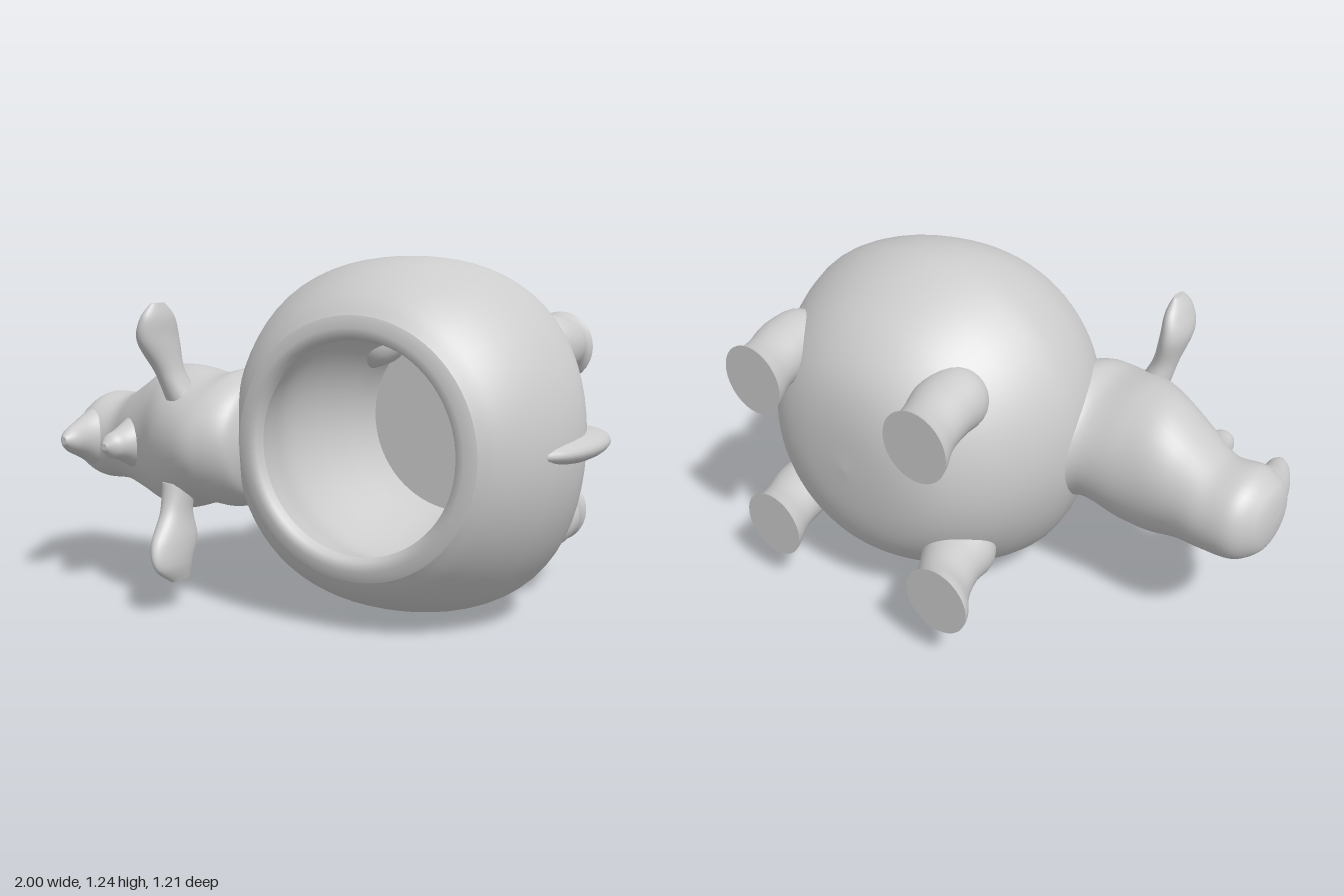
import * as THREE from 'three';

const material = new THREE.MeshStandardMaterial({ color: 0xcccccc, side: THREE.DoubleSide });

// Lofted solid along local y; each section is [height, centreX, centreZ, radiusX, radiusZ]
function loft(sections, steps = 28, sides = 32) {
  const at = (t) => {
    const f = Math.min(t * (sections.length - 1), sections.length - 1.0001);
    const i = Math.floor(f), u = f - i, n = sections.length - 1;
    const [a, b, c, d] = [i - 1, i, i + 1, i + 2].map((k) => sections[Math.min(Math.max(k, 0), n)]);
    return b.map((_, k) => 0.5 * (2 * b[k] + (c[k] - a[k]) * u + (2 * a[k] - 5 * b[k] + 4 * c[k] - d[k]) * u * u
      + (3 * b[k] - a[k] - 3 * c[k] + d[k]) * u * u * u));
  };
  const rings = [];
  for (let i = 0; i <= steps; i++) rings.push(at(i / steps));
  // doubled end rings give crisp flat caps
  const first = rings[0], last = rings[steps];
  const point = (r) => [r[0], r[1], r[2], 0, 0];
  rings.unshift(point(first), first);
  rings.push(last, point(last));
  const pos = [], index = [];
  rings.forEach(([h, cx, cz, rx, rz], i) => {
    for (let j = 0; j < sides; j++) {
      const a = (j / sides) * Math.PI * 2;
      pos.push(cx + Math.sin(a) * rx, h, cz + Math.cos(a) * rz);
      if (i === rings.length - 1) continue;
      const p = i * sides + j, q = i * sides + (j + 1) % sides;
      index.push(p, q, p + sides, q, q + sides, p + sides);
    }
  });
  const g = new THREE.BufferGeometry();
  g.setAttribute('position', new THREE.Float32BufferAttribute(pos, 3));
  g.setIndex(index);
  g.computeVertexNormals();
  return g;
}

// Lathe around the z axis from [radius, z] points
function turned(points, smooth = true) {
  let pts = points.map(([r, z]) => new THREE.Vector2(r, z));
  if (smooth) pts = new THREE.SplineCurve(pts).getPoints(48);
  pts.forEach((p) => { p.x = Math.max(p.x, 0); });
  return new THREE.LatheGeometry(pts, 72).rotateX(Math.PI / 2);
}

// Swell the four diagonals into shoulders and haunches, fading out at the rim
function swellDiagonals(geometry, amount) {
  const p = geometry.attributes.position;
  for (let i = 0; i < p.count; i++) {
    const x = p.getX(i), y = p.getY(i), z = p.getZ(i);
    const fade = Math.max(0, 1 - (z / 0.43) ** 2);
    const s = 1 + amount * fade * Math.sin(2 * Math.atan2(y, x)) ** 2;
    p.setXY(i, x * s, y * s);
  }
  return geometry;
}

export function createModel() {
  const model = new THREE.Group();
  const add = (name, geometry, x = 0, y = 0, z = 0) => {
    const mesh = new THREE.Mesh(geometry, material);
    mesh.name = name;
    mesh.position.set(x, y, z);
    model.add(mesh);
    return mesh;
  };

  // Hollow round body, opening towards +z
  const bx = 0.33, by = 0.62;
  add('bodyShell', swellDiagonals(turned([[0, -0.54], [0.2, -0.525], [0.35, -0.475], [0.47, -0.37], [0.555, -0.23],
    [0.605, -0.09], [0.62, 0.02], [0.6, 0.16], [0.55, 0.29], [0.49, 0.385], [0.435, 0.435]]), 0.055), bx, by);
  add('rim', turned([[0.435, 0.435], [0.395, 0.45], [0.365, 0.44], [0.355, 0.41]], false), bx, by);
  add('cavityWall', turned([[0.355, 0.41], [0.38, 0.32], [0.43, 0.15], [0.43, 0], [0.395, -0.18], [0.37, -0.3],
    [0.36, -0.41]]), bx, by);
  add('cavityFloor', new THREE.CircleGeometry(0.365, 64), bx, by, -0.41);

  // Neck, head and snout running towards -x
  add('head', loft([[0.11, 0.6, 0.2, 0.17, 0.24], [0.14, 0.6, 0.2, 0.225, 0.295], [0.21, 0.595, 0.21, 0.25, 0.32],
    [0.3, 0.59, 0.245, 0.235, 0.295], [0.44, 0.58, 0.225, 0.265, 0.265], [0.56, 0.575, 0.19, 0.258, 0.225],
    [0.68, 0.56, 0.165, 0.205, 0.2], [0.79, 0.545, 0.135, 0.17, 0.18], [0.9, 0.545, 0.14, 0.168, 0.18],
    [0.965, 0.54, 0.155, 0.13, 0.14], [0.99, 0.54, 0.165, 0.085, 0.09], [1.0, 0.54, 0.17, 0.02, 0.02]],
  66, 40).rotateZ(Math.PI / 2));

  // Blunt horns on top of the snout
  add('noseHorn', loft([[0.12, -0.885, -0.545, 0.1, 0.15], [0.24, -0.895, -0.545, 0.09, 0.125],
    [0.34, -0.9, -0.55, 0.062, 0.075], [0.42, -0.885, -0.555, 0.042, 0.045],
    [0.465, -0.875, -0.56, 0.012, 0.015]]).rotateX(Math.PI / 2));
  add('browHorn', loft([[0.22, -0.61, -0.565, 0.13, 0.17], [0.33, -0.625, -0.56, 0.09, 0.11],
    [0.42, -0.64, -0.56, 0.058, 0.06], [0.47, -0.645, -0.56, 0.042, 0.043],
    [0.5, -0.65, -0.56, 0.012, 0.012]]).rotateX(Math.PI / 2));

  // Thin upright ears
  add('upperEar', loft([[0.74, -0.37, 0.39, 0.06, 0.07], [0.84, -0.4, 0.43, 0.045, 0.065],
    [0.95, -0.42, 0.465, 0.05, 0.1], [1.03, -0.41, 0.48, 0.036, 0.085], [1.08, -0.4, 0.49, 0.012, 0.035]]));
  add('lowerEar', loft([[-0.45, -0.38, -0.41, 0.06, 0.07], [-0.35, -0.375, -0.44, 0.045, 0.075],
    [-0.25, -0.36, -0.475, 0.045, 0.12], [-0.17, -0.345, -0.5, 0.032, 0.1],
    [-0.11, -0.34, -0.47, 0.012, 0.05]]).rotateX(Math.PI));

  // Four stubby legs with flat soles facing -z, widening into the hips: [name, footX, footY, hipX, hipY]
  for (const [name, fx, fy, hx, hy] of [
    ['frontLowerLeg', -0.11, 0.28, -0.03, 0.29], ['frontUpperLeg', -0.05, 0.895, -0.01, 0.92],
    ['rearLowerLeg', 0.655, 0.275, 0.7, 0.29], ['rearUpperLeg', 0.66, 0.9, 0.7, 0.92]]) {
    const leg = loft([[-0.6, fx, -fy, 0.128, 0.132], [-0.57, fx, -fy, 0.118, 0.12],
      [-0.5, (fx + hx) / 2, -(fy + hy) / 2, 0.112, 0.1], [-0.4, hx, -hy, 0.12, 0.105],
      [-0.29, hx, -hy, 0.11, 0.11], [-0.2, hx, -hy, 0.05, 0.05]]);
    add(name, leg.rotateX(Math.PI / 2));
  }

  // Low tail ridge lying against the rump
  const tail = add('tail', new THREE.SphereGeometry(1, 24, 16), 0.87, 0.615, -0.06);
  tail.scale.set(0.13, 0.055, 0.3);

  return model;
}
